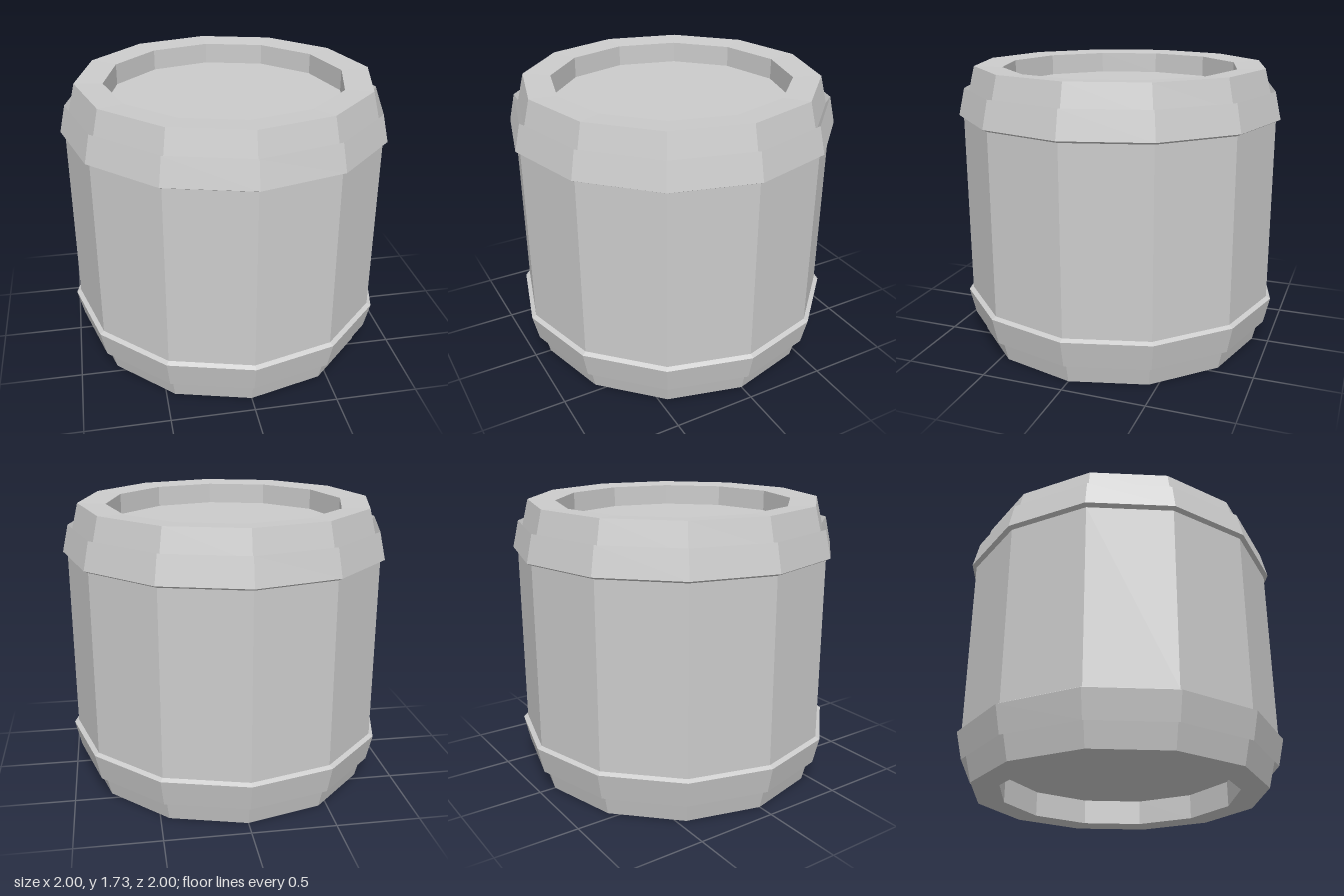
import * as THREE from 'three';

const SIDES = 12;
const HEIGHT = 1.73;
const material = new THREE.MeshStandardMaterial({ color: 0xcccccc, flatShading: true });

// Faceted ring swept from [radius, y] points listed upwards along the outside
function ring(name, profile) {
  const points = profile.map(([r, y]) => new THREE.Vector2(r, y));
  const geometry = new THREE.LatheGeometry(points, SIDES).toNonIndexed();
  geometry.computeVertexNormals();
  const mesh = new THREE.Mesh(geometry, material);
  mesh.name = name;
  return mesh;
}

// Sunken disc closing one end
function disc(name, radius, y, up) {
  const mesh = new THREE.Mesh(new THREE.CircleGeometry(radius, SIDES), material);
  mesh.rotation.x = up ? -Math.PI / 2 : Math.PI / 2;
  mesh.position.y = y;
  mesh.name = name;
  return mesh;
}

export function createModel() {
  const barrel = new THREE.Group();
  barrel.name = 'barrel';

  // Flared band, narrow groove, tapered end rim and recess wall
  const band = [[0.973, 1.422], [1, 1.436], [0.963, 1.6], [0.94, 1.56]];
  const rim = (lip, floor) => [[0.94, 1.56], [0.898, HEIGHT], [0.73, lip], [0.73, floor]];
  const mirror = (profile) => profile.map(([r, y]) => [r, HEIGHT - y]).reverse();
  const lidY = 1.59;
  const baseY = 0.158;

  barrel.add(ring('wall', [[0.973, HEIGHT - 1.422], [0.973, 1.422]]));
  barrel.add(ring('topBand', band), ring('topRim', rim(1.72, lidY)));
  barrel.add(ring('bottomBand', mirror(band)));
  barrel.add(ring('bottomRim', mirror(rim(HEIGHT, HEIGHT - baseY))));
  barrel.add(disc('lid', 0.73, lidY, true));
  barrel.add(disc('base', 0.73, baseY, false));
  return barrel;
}
